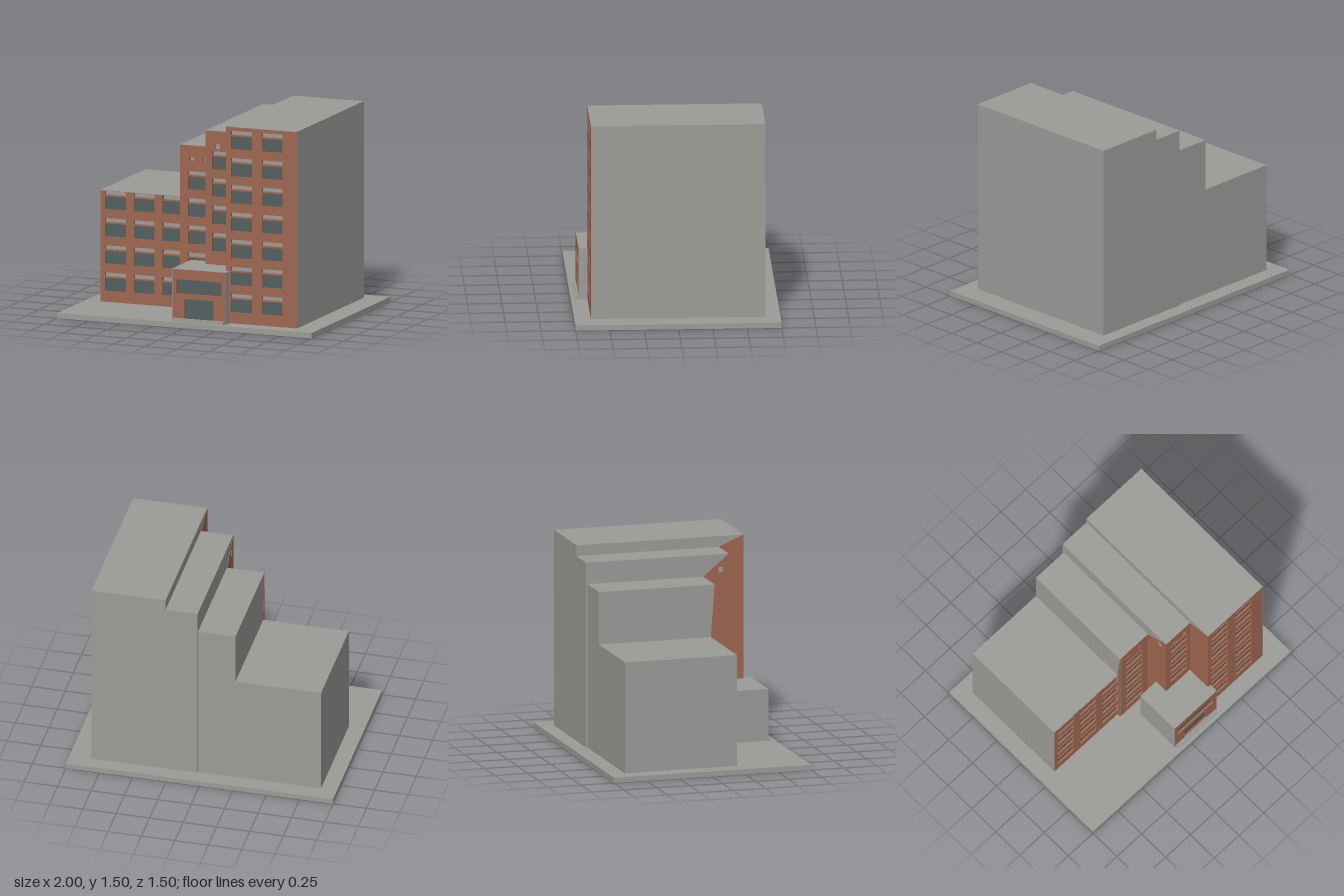
import * as THREE from 'three';

const GROUND = 0.04, DEPTH = 0.02, SKIN = 0.002;

export function createModel() {
  const model = new THREE.Group();
  model.name = 'apartmentBuilding';

  const material = (name, color) => {
    const m = new THREE.MeshStandardMaterial({ color });
    m.name = name;
    return m;
  };
  const grey = material('concreteGrey', 0x9b9c98);
  const brick = material('brickRed', 0x9e6650);
  const glass = material('darkGlass', 0x53605d);

  const add = (parent, name, geometry, mat) => {
    const mesh = new THREE.Mesh(geometry, mat);
    mesh.name = name;
    parent.add(mesh);
    return mesh;
  };

  // box given by its limits on each axis
  const box = (parent, name, mat, x0, x1, y0, y1, z0, z1) => {
    const mesh = add(parent, name, new THREE.BoxGeometry(x1 - x0, y1 - y0, z1 - z0), mat);
    mesh.position.set((x0 + x1) / 2, (y0 + y1) / 2, (z0 + z1) / 2);
    return mesh;
  };

  const outline = (PathType, x0, x1, y0, y1) => {
    const p = new PathType();
    p.moveTo(x0, y0);
    p.lineTo(x1, y0);
    p.lineTo(x1, y1);
    p.lineTo(x0, y1);
    p.closePath();
    return p;
  };

  // grey block with a pierced brick front; openings are [x0, x1, y0, y1, glazed]
  const block = (name, x0, x1, top, back, front, openings) => {
    const group = new THREE.Group();
    group.name = name;
    model.add(group);
    const wall = front - DEPTH;
    box(group, 'body', grey, x0, x1, GROUND, top, back, wall);
    const shape = outline(THREE.Shape, x0 + SKIN, x1 - SKIN, GROUND, top - SKIN);
    for (const [a, b, c, d] of openings) shape.holes.push(outline(THREE.Path, a, b, c, d));
    const facade = new THREE.ExtrudeGeometry(shape, { depth: DEPTH, bevelEnabled: false });
    add(group, 'brickFront', facade, brick).position.z = wall;
    // grey edges closing the sides and top of the brick front
    box(group, 'leftEdge', grey, x1 - SKIN, x1, GROUND, top, wall, front);
    box(group, 'rightEdge', grey, x0, x0 + SKIN, GROUND, top, wall, front);
    box(group, 'topEdge', grey, x0 + SKIN, x1 - SKIN, top - SKIN, top, wall, front);
    for (const [a, b, c, d, glazed] of openings) {
      if (glazed) box(group, 'windowPane', glass, a, b, c, d, wall, wall + 0.004);
    }
    return group;
  };

  // window columns: a glazed opening with a grey panel opening over each
  const windows = (columns, firstRow, lastRow) => {
    const list = [];
    for (const [a, b] of columns) {
      for (let row = firstRow; row <= lastRow; row++) {
        const y = 0.12 + row * 0.2012;
        list.push([a, b, y, y + 0.098, true], [a, b, y + 0.108, y + 0.138, false]);
      }
    }
    return list;
  };

  // brick on the exposed front part of a side wall, beyond the next block
  const sideBrick = (group, x, front, top, nextFront, nextTop) => {
    const s = new THREE.Shape();
    s.moveTo(nextFront, GROUND);
    s.lineTo(front, GROUND);
    s.lineTo(front, top);
    s.lineTo(nextFront, nextTop);
    s.closePath();
    const g = new THREE.ExtrudeGeometry(s, { depth: SKIN, bevelEnabled: false });
    g.rotateY(-Math.PI / 2);
    add(group, 'sideBrick', g, brick).position.x = x;
  };

  box(model, 'basePlate', grey, -1, 1, 0, GROUND, -0.75, 0.75);

  // stepped row of blocks, lowest to tallest
  block('lowWing', -0.88, -0.22, 0.865, -0.63, 0.222,
    windows([[-0.845, -0.68], [-0.617, -0.455], [-0.39, -0.226]], 0, 3));

  const third = block('middleBlock', -0.24, 0.04, 1.255, -0.63, 0.25, [
    ...windows([[-0.18, -0.015]], 0, 4),
    [-0.17, -0.133, 1.14, 1.165, false],
    [-0.063, -0.025, 1.14, 1.165, false],
  ]);
  sideBrick(third, -0.24, 0.25, 1.255, 0.222, 0.865);

  const second = block('highBlock', 0.04, 0.28, 1.415, -0.64, 0.442, [
    ...windows([[0.09, 0.25]], 2, 5),
    [0.107, 0.15, 1.28, 1.318, false],
    [0.203, 0.243, 1.28, 1.318, false],
  ]);
  sideBrick(second, 0.04, 0.442, 1.415, 0.25, 1.255);
  box(second, 'sideVent', grey, 0.035, 0.038, 1.28, 1.318, 0.365, 0.4);

  const tower = block('tower', 0.28, 0.835, 1.495, -0.64, 0.63,
    windows([[0.315, 0.48], [0.558, 0.72]], 0, 6));
  sideBrick(tower, 0.28, 0.63, 1.495, 0.442, 1.415);

  // entrance porch with a wide window over the door
  block('entrancePorch', -0.12, 0.305, 0.425, 0.337, 0.695, [
    [-0.085, 0.268, 0.243, 0.348, true],
    [-0.022, 0.203, 0.055, 0.207, true],
  ]);

  // shallow entrance steps
  box(model, 'lowerStep', grey, -0.11, 0.29, GROUND, 0.05, 0.695, 0.722);
  box(model, 'upperStep', grey, -0.11, 0.29, 0.05, 0.062, 0.695, 0.708);

  return model;
}
